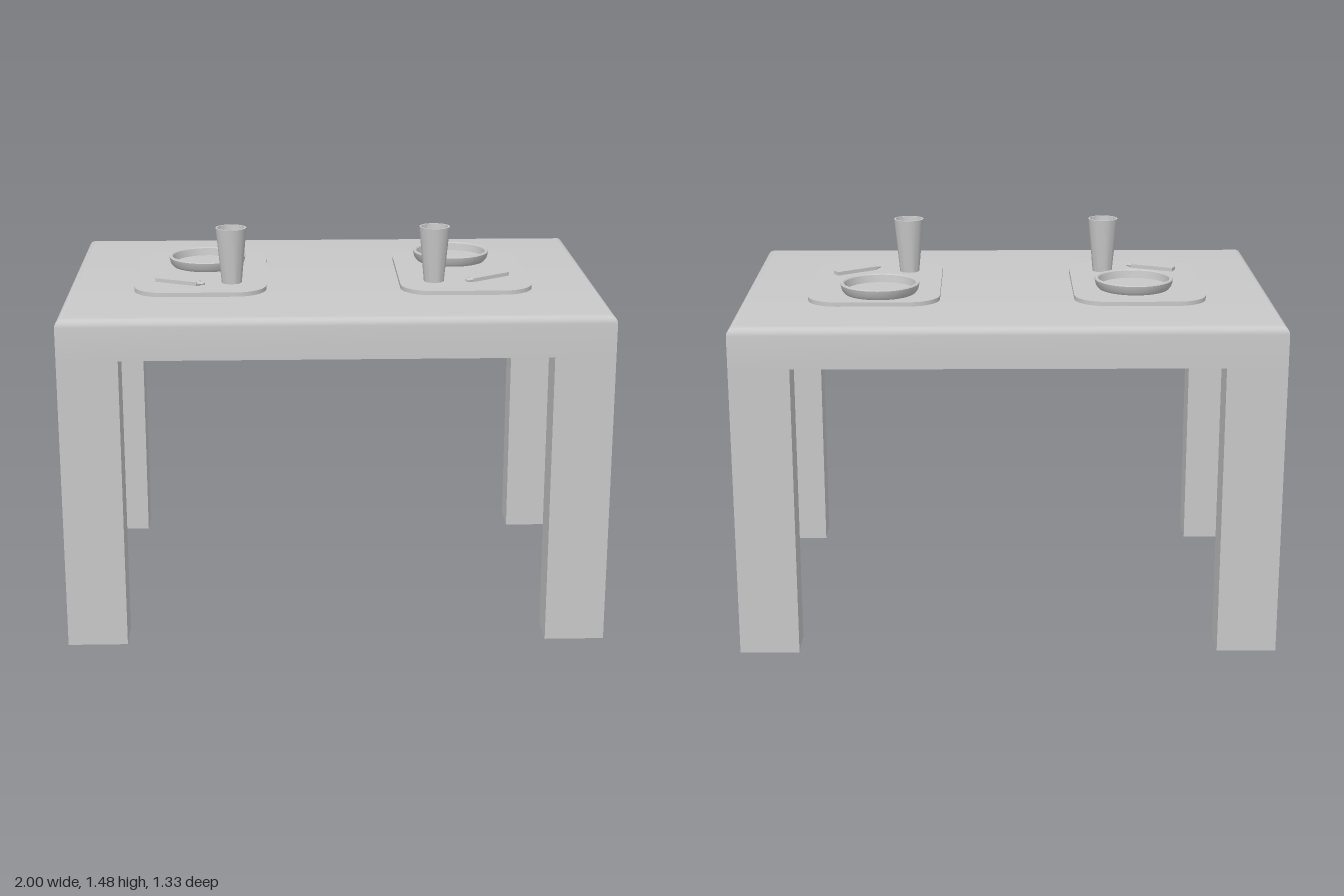
import * as THREE from 'three';
import { toCreasedNormals } from 'three/addons/utils/BufferGeometryUtils.js';

const grey = new THREE.MeshStandardMaterial({ color: 0xc8c8c8, side: THREE.DoubleSide });
grey.name = 'plain grey';

function part(name, geometry, parent, x = 0, y = 0, z = 0) {
  const mesh = new THREE.Mesh(geometry, grey);
  mesh.name = name;
  mesh.position.set(x, y, z);
  parent.add(mesh);
  return mesh;
}

// Slab with sharp vertical corners and a rounded upper edge, made of stacked rectangles
function slabGeometry(hx, hz, y0, y1, r) {
  const rings = [[0, y0]];
  for (let i = 0; i <= 6; i++) {
    const a = (i / 6) * Math.PI / 2;
    rings.push([r * (1 - Math.cos(a)), y1 - r + r * Math.sin(a)]);
  }
  const pos = [], idx = [];
  for (const [d, y] of rings) {
    for (const [sx, sz] of [[1, 1], [1, -1], [-1, -1], [-1, 1]]) pos.push(sx * (hx - d), y, sz * (hz - d));
  }
  for (let k = 0; k < rings.length - 1; k++) {
    for (let i = 0; i < 4; i++) {
      const a = k * 4 + i, b = k * 4 + (i + 1) % 4;
      idx.push(a, b, b + 4, a, b + 4, a + 4);
    }
  }
  const t = (rings.length - 1) * 4;
  idx.push(t, t + 1, t + 2, t, t + 2, t + 3, 0, 2, 1, 0, 3, 2);
  const g = new THREE.BufferGeometry();
  g.setAttribute('position', new THREE.Float32BufferAttribute(pos, 3));
  g.setIndex(idx);
  return toCreasedNormals(g, 0.6);
}

// Rounded placemat lying flat, its underside at y = 0
function matGeometry(w, d, r, h) {
  const x = w / 2, z = d / 2, s = new THREE.Shape();
  s.moveTo(-x + r, -z);
  s.lineTo(x - r, -z);
  s.absarc(x - r, -z + r, r, -Math.PI / 2, 0);
  s.absarc(x - r, z - r, r, 0, Math.PI / 2);
  s.absarc(-x + r, z - r, r, Math.PI / 2, Math.PI);
  s.absarc(-x + r, -z + r, r, Math.PI, Math.PI * 1.5);
  const g = new THREE.ExtrudeGeometry(s, { depth: h, bevelEnabled: false, curveSegments: 10 });
  return toCreasedNormals(g.rotateX(-Math.PI / 2), 0.6);
}

function lathe(points, segments) {
  const g = new THREE.LatheGeometry(points.map(([r, y]) => new THREE.Vector2(r, y)), segments);
  return toCreasedNormals(g, 0.6);
}

const dishGeometry = () => lathe([
  [0, 0], [0.134, 0], [0.144, 0.012], [0.15, 0.036], [0.147, 0.04],
  [0.139, 0.04], [0.135, 0.036], [0.13, 0.008], [0, 0.008]], 40);

const cupGeometry = () => lathe([
  [0, 0], [0.038, 0], [0.058, 0.21], [0.051, 0.21], [0.032, 0.02], [0, 0.02]], 28);

// Flat handle with a small pointed tip, along +x
function addUtensil(parent, x0, z0, x1, z1, y) {
  const utensil = new THREE.Group();
  utensil.name = 'utensil';
  const len = Math.hypot(x1 - x0, z1 - z0), tip = 0.025;
  part('utensilHandle', new THREE.BoxGeometry(len - tip, 0.014, 0.034), utensil, -tip / 2, 0.009, 0);
  const point = new THREE.CylinderGeometry(0.007, 0.014, tip, 12).rotateZ(-Math.PI / 2).scale(1, 0.6, 1);
  part('utensilTip', point, utensil, len / 2 - tip / 2, 0.009, 0);
  utensil.position.set((x0 + x1) / 2, y, (z0 + z1) / 2);
  utensil.rotation.y = -Math.atan2(z1 - z0, x1 - x0);
  parent.add(utensil);
}

export function createModel() {
  const model = new THREE.Group();
  model.name = 'diningTable';

  // Table
  part('tableTop', slabGeometry(1, 0.667, 1.097, 1.25, 0.03), model);
  for (const sx of [-1, 1]) {
    for (const sz of [-1, 1]) {
      part('leg', new THREE.BoxGeometry(0.22, 1.097, 0.147), model, sx * 0.89, 0.5485, sz * 0.5935);
    }
  }

  // Place settings
  const top = 1.266;
  const settings = [
    { side: -1, dish: [-0.485, -0.12], utensil: [-0.665, 0.16, -0.485, 0.243] },
    { side: 1, dish: [0.48, -0.185], utensil: [0.668, 0.10, 0.503, 0.216] }
  ];
  for (const { side, dish, utensil } of settings) {
    const setting = new THREE.Group();
    setting.name = side < 0 ? 'rightSetting' : 'leftSetting';
    part('placemat', matGeometry(0.495, 0.7, 0.115, 0.016), setting, side * 0.5, 1.25, -0.004);
    part('dish', dishGeometry(), setting, dish[0], top, dish[1]);
    part('cup', cupGeometry(), setting, side * 0.383, top, 0.18);
    addUtensil(setting, ...utensil, top);
    model.add(setting);
  }
  return model;
}
